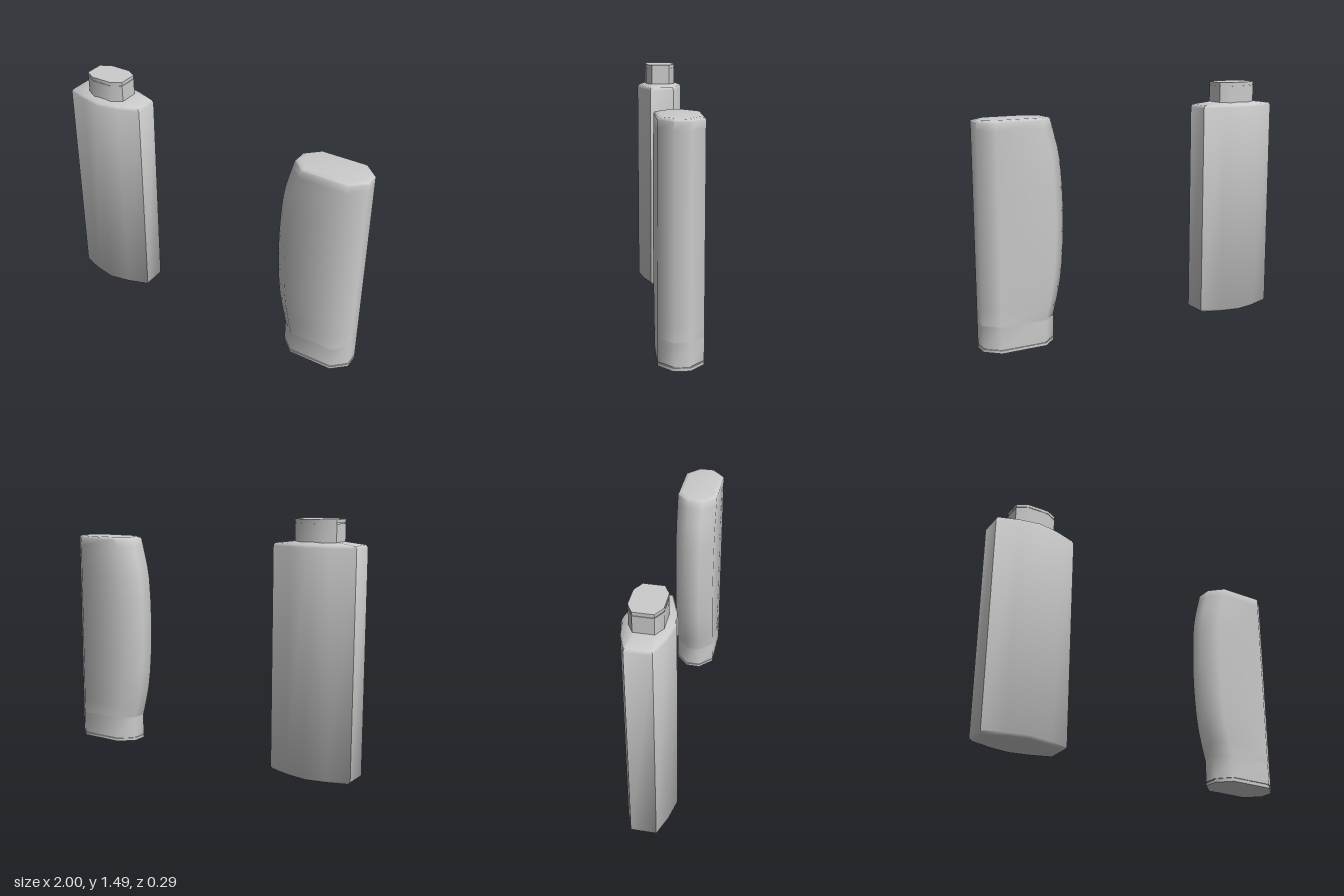
import * as THREE from 'three';
import { toCreasedNormals } from 'three/addons/utils/BufferGeometryUtils.js';

// Skin a stack of equal-length rings (counter-clockwise seen from above) and close both ends
function loft(name, rings) {
  const pos = [];
  const tri = (...pts) => pts.forEach((p) => pos.push(...p));
  const n = rings[0].length;
  const middle = (ring) => [0, 1, 2].map((k) => ring.reduce((s, p) => s + p[k], 0) / n);
  const bottom = rings[0], top = rings[rings.length - 1];
  const cb = middle(bottom), ct = middle(top);
  for (let i = 0; i < n; i++) {
    const j = (i + 1) % n;
    for (let r = 0; r < rings.length - 1; r++) {
      const lo = rings[r], hi = rings[r + 1];
      tri(lo[i], lo[j], hi[j]);
      tri(lo[i], hi[j], hi[i]);
    }
    tri(cb, bottom[j], bottom[i]);
    tri(ct, top[i], top[j]);
  }
  const geo = new THREE.BufferGeometry();
  geo.setAttribute('position', new THREE.Float32BufferAttribute(pos, 3));
  const mesh = new THREE.Mesh(
    toCreasedNormals(geo, THREE.MathUtils.degToRad(55)),
    new THREE.MeshStandardMaterial({ color: 0xcccccc })
  );
  mesh.name = name;
  return mesh;
}

// Full outline from one quarter, listed from the +x end towards x = 0
function mirrorQuarter(quarter) {
  const back = quarter.map(([x, z]) => [x, -z]);
  const backLeft = quarter.filter(([x]) => x > 0).map(([x, z]) => [-x, -z]).reverse();
  const half = [...back, ...backLeft];
  return [...half, ...half.map(([x, z]) => [-x, -z])]
    .filter((p, i, all) => all.findIndex((q) => q[0] === p[0] && q[1] === p[1]) === i);
}

// Rings from one outline; each level is [y, x scale, z scale]
const scaledRings = (outline, levels) =>
  levels.map(([y, sx, sz]) => outline.map(([x, z]) => [x * sx, y, z * sz]));

function cappedBottle() {
  const bottle = new THREE.Group();
  bottle.name = 'cappedBottle';
  const body = mirrorQuarter([[0.258, 0.075], [0.13, 0.121], [0, 0.147]]);
  const cap = mirrorQuarter([[0.129, 0.058], [0.065, 0.094]]);
  bottle.add(
    loft('bottleBody', scaledRings(body, [
      [0, 0.92, 0.85], [0.005, 0.95, 0.91], [0.018, 1, 1],
      [1.33, 1, 1], [1.346, 0.96, 0.95], [1.36, 0.52, 0.68],
    ])),
    // Cap with a thin seam below its lid
    loft('cap', scaledRings(cap, [
      [1.34, 1, 1], [1.461, 1, 1], [1.461, 0.97, 0.97],
      [1.466, 0.97, 0.97], [1.466, 1, 1], [1.485, 1, 1],
    ]))
  );
  bottle.position.x = -0.742;
  return bottle;
}

// Eight-sided section with a movable left side; d insets the whole outline
function section(y, left, d = 0) {
  const r = 1 - d, l = left + d, z = 0.125 - d, e = 0.045 - d * 0.4;
  const c = 0.083 - d * 0.6;
  return [
    [r, -e], [r - c, -z], [l + c, -z], [l, -e],
    [l, e], [l + c, z], [r - c, z], [r, e],
  ].map(([x, w]) => [x, y, w]);
}

function bulgedBottle() {
  const bottle = new THREE.Group();
  bottle.name = 'invertedBottle';
  // Belly curve down the left side, as [x, y]
  const belly = new THREE.SplineCurve([
    [0.557, 0.157], [0.51, 0.35], [0.488, 0.56], [0.482, 0.8],
    [0.496, 1.07], [0.525, 1.21], [0.555, 1.322],
  ].map(([x, y]) => new THREE.Vector2(x, y)));
  const sides = belly.getPoints(12).map((p) => section(p.y, p.x));
  bottle.add(
    loft('bottleBody', [
      ...sides, section(1.33, 0.557, 0.006), section(1.334, 0.557, 0.028),
    ]),
    // Base cap with a thin seam near the ground
    loft('baseCap', [
      section(0, 0.557), section(0.018, 0.557), section(0.018, 0.557, 0.006),
      section(0.024, 0.557, 0.006), section(0.024, 0.557), section(0.157, 0.557),
    ])
  );
  return bottle;
}

export function createModel() {
  const model = new THREE.Group();
  model.name = 'toiletryBottles';
  model.add(cappedBottle(), bulgedBottle());
  return model;
}
